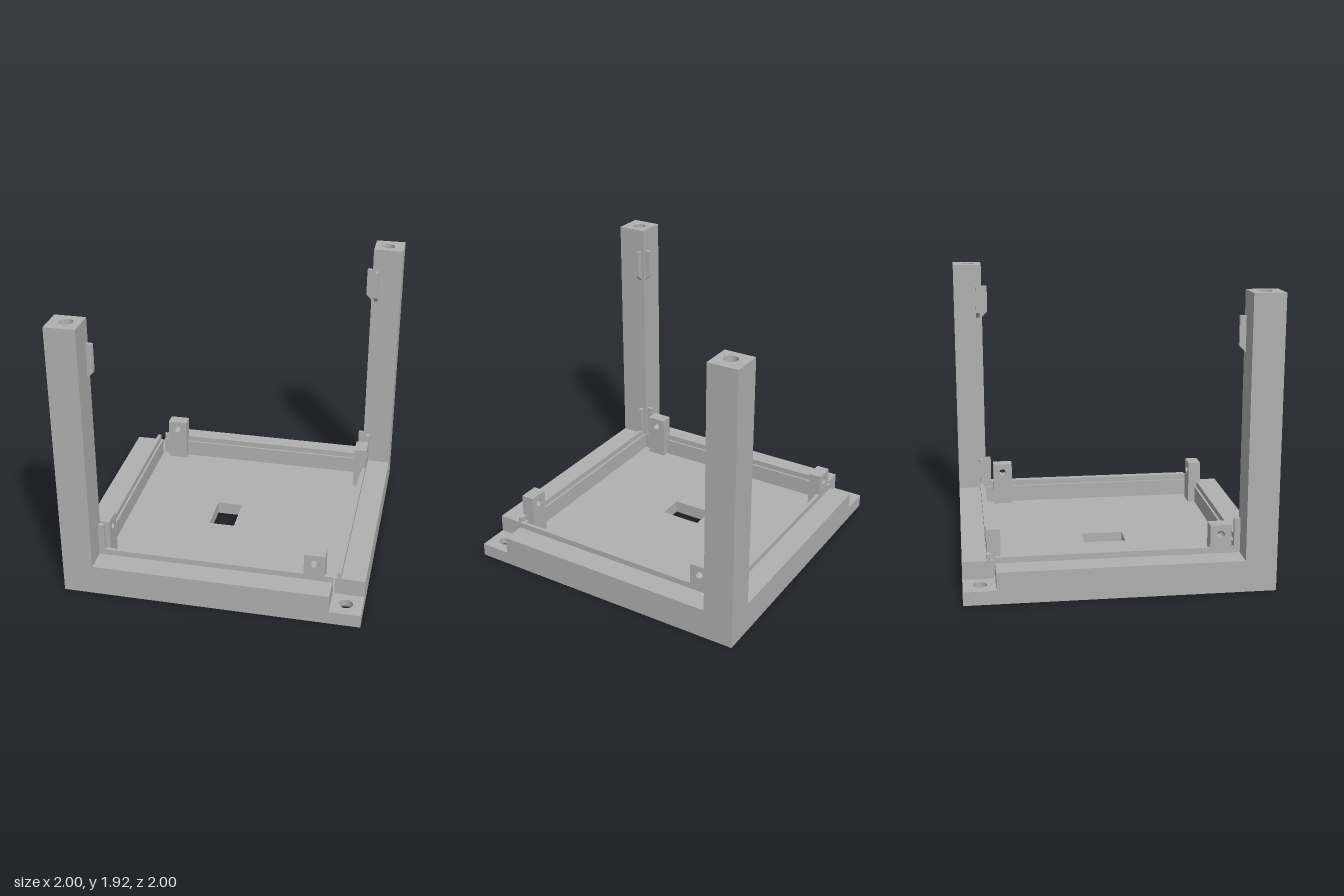
import * as THREE from 'three';

const grey = new THREE.MeshStandardMaterial({ color: 0xb0b0b0 });
grey.name = 'plain grey';

const FLOOR = 0.09, RIM = 0.21, INNER = 0.8, POST = 0.795, NOTCH = 0.79;
const HOLE = 0.89, HOLE_R = 0.045, SINK_R = 0.086;

function add(parent, name, geometry) {
  const mesh = new THREE.Mesh(geometry, grey);
  mesh.name = name;
  parent.add(mesh);
  return mesh;
}

// box given by its extents on each axis
function box(parent, name, [x0, x1], [y0, y1], [z0, z1]) {
  const g = new THREE.BoxGeometry(x1 - x0, y1 - y0, z1 - z0);
  g.translate((x0 + x1) / 2, (y0 + y1) / 2, (z0 + z1) / 2);
  return add(parent, name, g);
}

const outline = (points) => new THREE.Shape(points.map(([x, y]) => new THREE.Vector2(x, y)));
const rect = (x0, x1, y0, y1) => outline([[x0, y0], [x1, y0], [x1, y1], [x0, y1]]);
const circle = (x, y, r) => new THREE.Path().absarc(x, y, r, 0, Math.PI * 2, true);

function extrude(shape, depth, steps = 1) {
  return new THREE.ExtrudeGeometry(shape, { depth, steps, bevelEnabled: false, curveSegments: 32 });
}

// floor plate with a window and two screw holes countersunk from below
function floorGeometry() {
  const shape = rect(-1, 1, -1, 1);
  shape.holes.push(rect(-0.2, -0.02, -0.14, 0.145));
  const centres = [[HOLE, -HOLE], [-HOLE, HOLE]];
  for (const [x, y] of centres) shape.holes.push(circle(x, y, HOLE_R));
  const g = extrude(shape, FLOOR, 2);
  const p = g.attributes.position;
  for (let i = 0; i < p.count; i++) {
    if (p.getZ(i) > 0.001) continue;
    for (const [x, y] of centres) {
      const dx = p.getX(i) - x, dy = p.getY(i) - y;
      if (Math.hypot(dx, dy) < HOLE_R * 1.1) {
        p.setXY(i, x + dx * SINK_R / HOLE_R, y + dy * SINK_R / HOLE_R);
      }
    }
  }
  g.computeVertexNormals();
  return g.rotateX(-Math.PI / 2);
}

// corner post with a blind screw hole in its top
function cornerPost() {
  const post = new THREE.Group();
  post.name = 'cornerPost';
  box(post, 'postShaft', [-1, -POST], [FLOOR, 1.5], [POST, 1]);
  const top = rect(-1, -POST, -1, -POST);
  top.holes.push(circle(-HOLE, -HOLE, HOLE_R));
  const g = extrude(top, 0.42).rotateX(-Math.PI / 2).translate(0, 1.5, 0);
  add(post, 'postTop', g);
  return post;
}

// one side of the frame, built along the front; s is the end that meets a post
function side(s) {
  const group = new THREE.Group();
  group.name = 'frameSide';
  const span = s < 0 ? [-POST, NOTCH] : [-NOTCH, POST];
  const tongue = [0.815, 0.84];
  box(group, 'rimWall', span, [FLOOR, RIM], [INNER, 1]);
  box(group, 'rimTongue', span, [RIM, 0.25], tongue);

  // tongue pieces on the post
  const ends = [s * POST, s * 0.755].sort((a, b) => a - b);
  box(group, 'lowerPostTongue', ends, [0.25, 0.44], tongue);
  const profile = outline([[s * POST, 1.53], [s * 0.755, 1.57], [s * 0.755, 1.76], [s * POST, 1.76]]);
  add(group, 'upperPostTongue', extrude(profile, 0.025).translate(0, 0, tongue[0]));

  // screw block standing on the floor against the wall
  const face = rect(0.598, 0.738, RIM, 0.4);
  face.holes.push(circle(0.668, 0.335, 0.026));
  add(group, 'screwBlock', extrude(face, 0.09).translate(0, 0, 0.75));
  box(group, 'screwBlockFoot', [0.598, 0.738], [FLOOR, RIM], [0.75, INNER]);
  return group;
}

export function createModel() {
  const model = new THREE.Group();
  model.name = 'cornerPostFrame';
  add(model, 'floorPlate', floorGeometry());

  for (let i = 0; i < 4; i++) {
    const part = side(i % 2 ? 1 : -1);
    part.rotation.y = -i * Math.PI / 2;
    model.add(part);
  }
  for (let i = 0; i < 2; i++) {
    const post = cornerPost();
    post.rotation.y = i * Math.PI;
    model.add(post);
  }
  return model;
}
